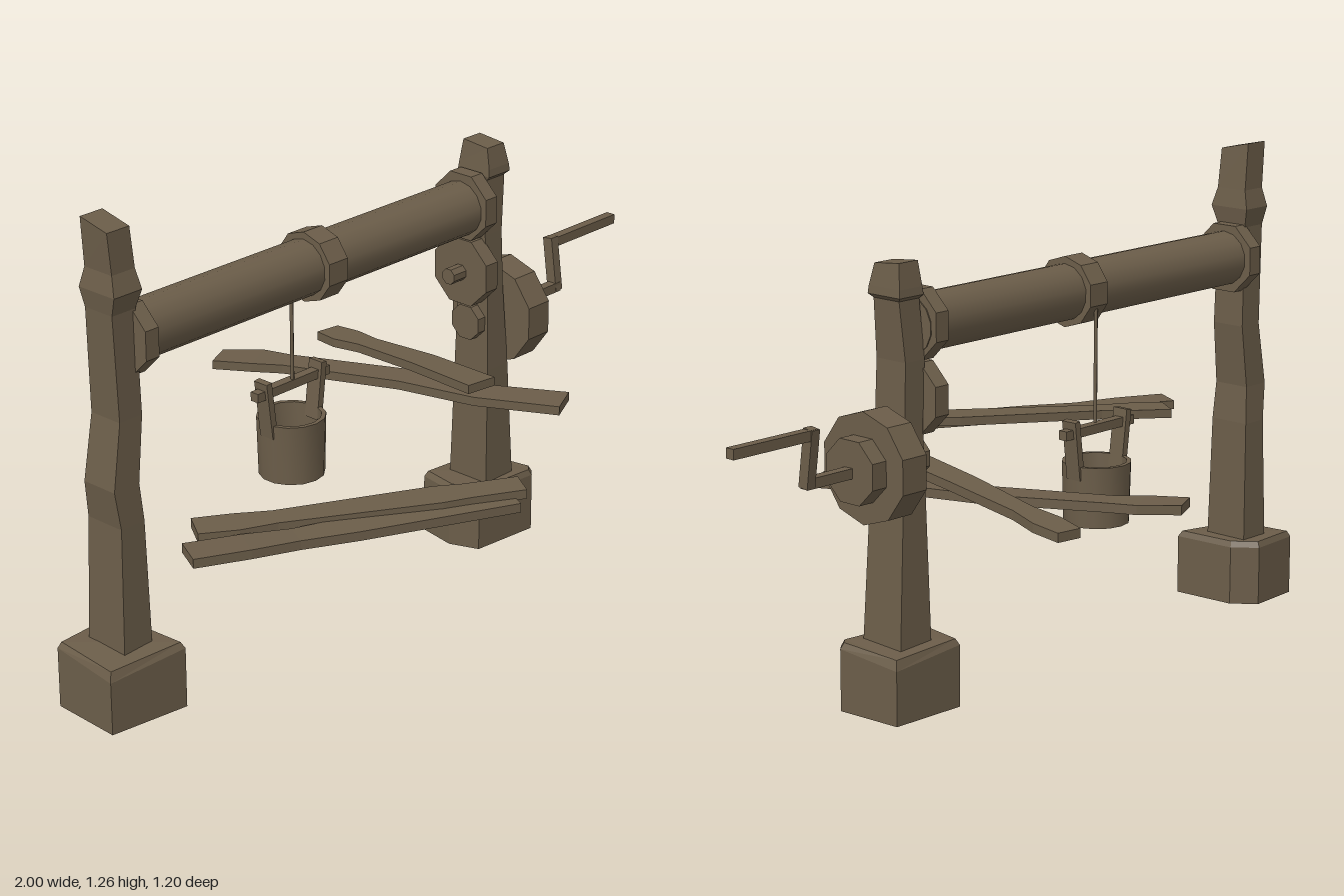
import * as THREE from 'three';
import { toCreasedNormals } from 'three/addons/utils/BufferGeometryUtils.js';

// Flat-shaded skin over matching rings of corners, closed at both ends
function loft(rings) {
  const pos = [];
  const tri = (a, b, c) => pos.push(...a, ...b, ...c);
  const n = rings[0].length;
  for (let k = 0; k < rings.length - 1; k++) {
    const a = rings[k], b = rings[k + 1];
    for (let i = 0; i < n; i++) {
      const j = (i + 1) % n;
      tri(a[i], a[j], b[j]);
      tri(a[i], b[j], b[i]);
    }
  }
  const first = rings[0], last = rings[rings.length - 1];
  for (let i = 1; i < n - 1; i++) {
    tri(first[0], first[i + 1], first[i]);
    tri(last[0], last[i], last[i + 1]);
  }
  const g = new THREE.BufferGeometry();
  g.setAttribute('position', new THREE.Float32BufferAttribute(pos, 3));
  g.computeVertexNormals();
  return g;
}

// Post from sections [y, xMin, xMax, zMin, zMax, extra height at the back]
const post = (sections) => loft(sections.map(([y, x0, x1, z0, z1, tilt = 0]) => [
  [x1, y, z1], [x1, y + tilt, z0], [x0, y + tilt, z0], [x0, y, z1],
]));

// Plank along points [x, y, z, width]
function plank(points, thick = 0.024) {
  const up = new THREE.Vector3(0, 1, 0);
  const a = new THREE.Vector3(...points[0]);
  const b = new THREE.Vector3(...points[points.length - 1]);
  const side = up.clone().cross(b.sub(a)).normalize();
  return loft(points.map(([x, y, z, w]) =>
    [[1, -1], [1, 1], [-1, 1], [-1, -1]].map(([u, v]) =>
      [x + side.x * u * w / 2, y + v * thick / 2, z + side.z * u * w / 2])));
}

// Stone foot with a chipped top; corners [x, z] run counter-clockwise from above
function foot(corners, chip) {
  const cx = corners.reduce((s, c) => s + c[0], 0) / corners.length;
  const cz = corners.reduce((s, c) => s + c[1], 0) / corners.length;
  const ring = (y, k, drop) => corners.map(([x, z], i) =>
    [cx + (x - cx) * k, y - (i === chip ? drop : 0), cz + (z - cz) * k]);
  return loft([ring(0, 1, 0), ring(0.16, 1, 0.02), ring(0.176, 0.93, 0.01)]);
}

export function createModel() {
  const model = new THREE.Group();
  model.name = 'wellWinch';
  const wood = new THREE.MeshStandardMaterial({ color: 0x6b5d49 });
  wood.name = 'weathered wood';
  const woodOpen = new THREE.MeshStandardMaterial({ color: 0x6b5d49, side: THREE.DoubleSide });
  woodOpen.name = 'weathered wood, two sided';

  const add = (name, geometry, material = wood, parent = model) => {
    const mesh = new THREE.Mesh(geometry, material);
    mesh.name = name;
    parent.add(mesh);
    return mesh;
  };
  const axisZ = -0.082;
  // Round part lying along x
  const roller = (name, x0, x1, y, r, sides, smooth = false) => {
    const g = new THREE.CylinderGeometry(r, r, x1 - x0, sides);
    g.rotateX(0).rotateY(Math.PI / sides).rotateZ(Math.PI / 2);
    g.translate((x0 + x1) / 2, y, axisZ);
    return add(name, toCreasedNormals(g, smooth ? 0.7 : 0.1));
  };
  // Square bar between two points
  const bar = (name, a, b, w, d = w, parent = model) => {
    const p = new THREE.Vector3(...a), q = new THREE.Vector3(...b);
    const mesh = add(name, new THREE.BoxGeometry(w, p.distanceTo(q), d), wood, parent);
    mesh.position.copy(p).add(q).multiplyScalar(0.5);
    mesh.quaternion.setFromUnitVectors(new THREE.Vector3(0, 1, 0), q.sub(p).normalize());
    return mesh;
  };

  // Feet and crooked posts
  add('rightFoot', foot([[-0.78, 0.048], [-0.79, -0.13], [-0.84, -0.19], [-0.99, -0.18], [-1, 0.02]], 4));
  add('leftFoot', foot([[0.545, 0.018], [0.565, 0], [0.555, -0.185], [0.34, -0.19], [0.32, -0.08], [0.35, 0]], 2));
  add('rightPost', post([
    [0.1, -0.922, -0.828, -0.145, -0.015],
    [0.5, -0.91, -0.836, -0.138, -0.022],
    [0.6, -0.925, -0.846, -0.13, -0.025],
    [0.77, -0.896, -0.825, -0.128, -0.03],
    [1.04, -0.905, -0.832, -0.125, -0.033],
    [1.09, -0.912, -0.824, -0.136, -0.016],
    [1.14, -0.902, -0.83, -0.125, -0.032],
    [1.245, -0.91, -0.84, -0.125, -0.035, 0.02],
  ]));
  add('leftPost', post([
    [0.1, 0.393, 0.505, -0.147, -0.015],
    [0.5, 0.402, 0.482, -0.138, -0.022],
    [0.72, 0.406, 0.468, -0.132, -0.03],
    [0.88, 0.397, 0.462, -0.13, -0.032],
    [1.03, 0.406, 0.474, -0.122, -0.036],
    [1.04, 0.403, 0.484, -0.134, -0.026],
    [1.06, 0.405, 0.482, -0.132, -0.028],
    [1.115, 0.41, 0.474, -0.122, -0.04, 0.008],
  ]));

  // Drum with collars
  roller('drum', -0.84, 0.4, 0.957, 0.073, 14, true);
  roller('rightCollar', -0.84, -0.798, 0.957, 0.097, 8);
  roller('leftCollar', 0.355, 0.397, 0.962, 0.095, 8);
  roller('middleRing', -0.225, -0.16, 0.957, 0.092, 10);

  // Gears and axles
  roller('innerGear', 0.357, 0.402, 0.78, 0.097, 8);
  roller('innerGearAxle', 0.31, 0.36, 0.778, 0.022, 8);
  roller('crankAxle', 0.378, 0.5, 0.63, 0.05, 8);
  roller('crankWheel', 0.48, 0.56, 0.63, 0.141, 10);
  roller('crankHub', 0.555, 0.606, 0.63, 0.085, 8);

  // Crank
  const crank = new THREE.Group();
  crank.name = 'crank';
  model.add(crank);
  bar('crankShaft', [0.59, 0.628, -0.08], [0.752, 0.628, -0.08], 0.026, 0.026, crank);
  bar('crankArm', [0.744, 0.618, -0.08], [0.744, 0.765, -0.1], 0.026, 0.03, crank);
  bar('crankHandle', [0.735, 0.751, -0.098], [1, 0.751, -0.098], 0.026, 0.026, crank);

  // Bucket hanging on its rope
  const bucket = new THREE.Group();
  bucket.name = 'bucket';
  bucket.position.set(-0.193, 0, -0.165);
  model.add(bucket);
  const profile = [[0, 0.365], [0.086, 0.365], [0.09, 0.525], [0.078, 0.525], [0.074, 0.385], [0, 0.385]];
  const pail = new THREE.LatheGeometry(profile.map(([r, y]) => new THREE.Vector2(r, y)), 14);
  add('pail', toCreasedNormals(pail, 0.7), woodOpen, bucket);
  for (const s of [-1, 1]) {
    bar('bucketEar', [s * 0.08, 0.49, 0], [s * 0.099, 0.645, 0], 0.018, 0.045, bucket);
  }
  bar('bucketBeam', [-0.13, 0.612, 0], [0.13, 0.612, 0], 0.024, 0.026, bucket);
  const rope = add('rope', new THREE.CylinderGeometry(0.005, 0.005, 0.35, 6), wood, bucket);
  rope.position.set(0, 0.79, 0.006);

  // Fallen planks
  add('longCrossPlank', plank([
    [-0.045, 0.51, -0.585, 0.082], [0.02, 0.51, -0.5, 0.1], [0.06, 0.508, -0.43, 0.075],
    [0.2, 0.505, -0.14, 0.085], [0.26, 0.503, 0.07, 0.09], [0.365, 0.505, 0.273, 0.1],
  ]));
  add('tiltedCrossPlank', plank([
    [0.31, 0.497, -0.522, 0.07], [0.298, 0.505, -0.44, 0.088], [0.286, 0.515, -0.35, 0.062],
    [0.255, 0.54, -0.12, 0.08], [0.218, 0.557, 0.118, 0.088],
  ]));
  add('frontPlank', plank([
    [-0.897, 0.5, 0.19, 0.09], [-0.77, 0.5, 0.255, 0.088], [-0.66, 0.498, 0.31, 0.07],
    [-0.53, 0.5, 0.375, 0.085], [-0.162, 0.503, 0.56, 0.075],
  ]));
  add('rearPlank', plank([
    [-0.8, 0.505, 0.112, 0.088], [-0.72, 0.507, 0.17, 0.092], [-0.64, 0.509, 0.222, 0.07],
    [-0.3, 0.518, 0.435, 0.095], [-0.24, 0.52, 0.475, 0.08], [-0.122, 0.523, 0.548, 0.078],
  ]));

  return model;
}
